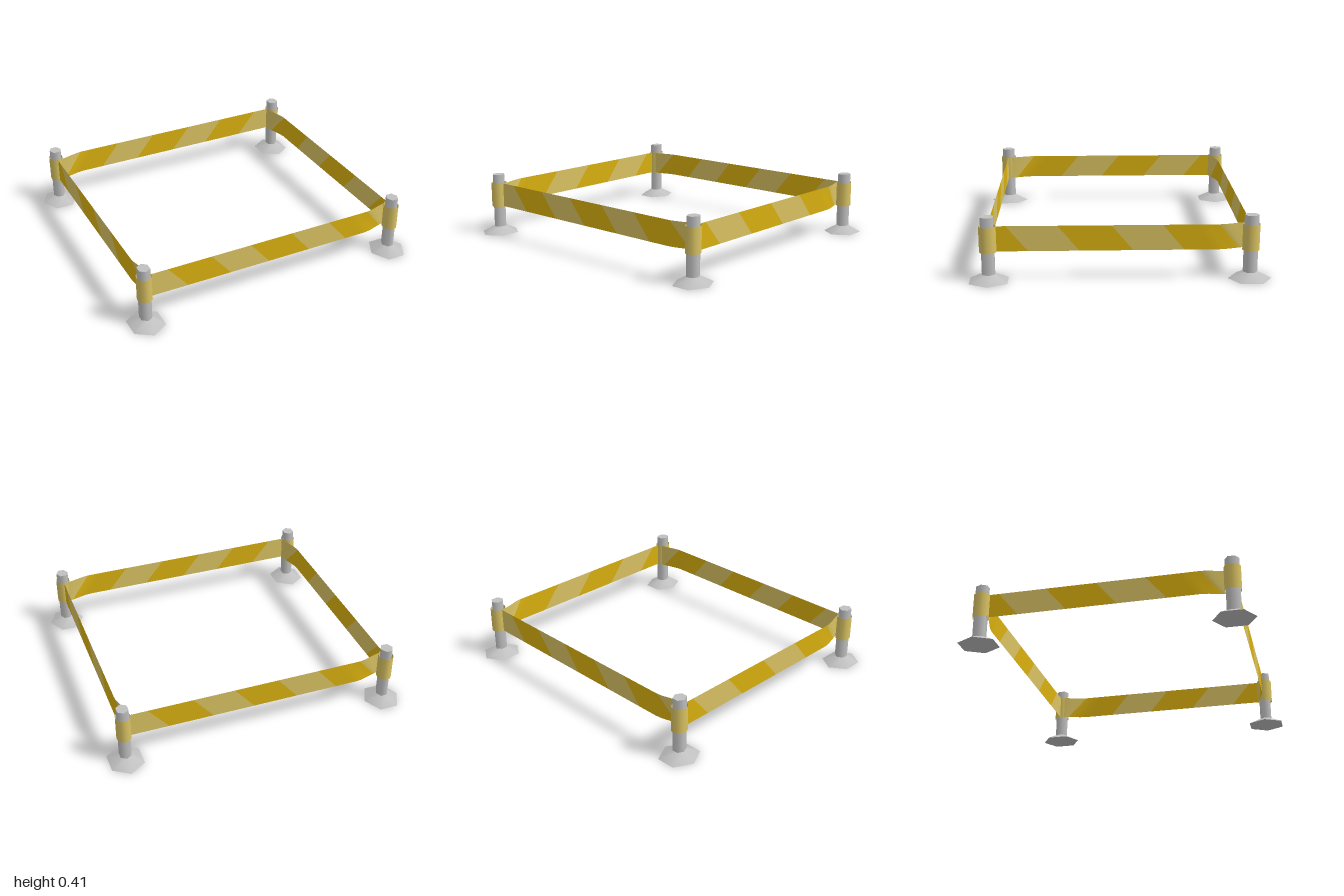
import * as THREE from 'three';

const X = 0.878, Z = 0.795;          // post positions
const LOW = 0.187, HIGH = 0.346;     // tape height range

const steel = new THREE.MeshStandardMaterial({ color: 0xc0c0c0 });
steel.name = 'grey steel';
const paleYellow = new THREE.MeshStandardMaterial({ color: 0xd9c262, side: THREE.DoubleSide });
paleYellow.name = 'pale yellow';
const deepYellow = new THREE.MeshStandardMaterial({ color: 0xd9b010, side: THREE.DoubleSide });
deepYellow.name = 'deep yellow';

function part(name, geometry, material) {
  const mesh = new THREE.Mesh(geometry, material);
  mesh.name = name;
  return mesh;
}

// Six-sided or round section, slightly deeper in z than in x
function column(rTop, rBottom, y0, y1, sides, turn, open = false) {
  return new THREE.CylinderGeometry(rTop, rBottom, y1 - y0, sides, 1, open)
    .rotateY(turn).scale(1, 1.12, 1).scale(1, 1 / 1.12, 1.12)
    .translate(0, (y0 + y1) / 2, 0);
}

function makePost(turn) {
  const post = new THREE.Group();
  post.name = 'post';
  post.add(
    part('foot', column(0.04, 0.12, 0, 0.045, 6, turn), steel),
    part('pole', column(0.04, 0.04, 0.04, 0.406, 6, turn), steel),
    part('tapeWrap', column(0.047, 0.047, LOW - 0.002, HIGH + 0.002, 12, 0, true), paleYellow)
  );
  return post;
}

// Sideways drift of the tape towards the inner face of the wrap at its end
function drift(s) {
  return -0.042 * (1 - THREE.MathUtils.smoothstep(s, 0, 0.2));
}

// One slanted stripe; s is the distance from the right-hand post
function stripe(length, top0, top1, bottom0, bottom1) {
  const steps = 8, pos = [], index = [];
  for (let i = 0; i <= steps; i++) {
    const t = i / steps;
    for (const [a, b, y] of [[top1, top0, HIGH], [bottom1, bottom0, LOW]]) {
      const s = a + (b - a) * t;
      pos.push(length / 2 - s, y, drift(s));
    }
    if (i < steps) {
      const k = i * 2;
      index.push(k, k + 1, k + 2, k + 2, k + 1, k + 3);
    }
  }
  const g = new THREE.BufferGeometry();
  g.setAttribute('position', new THREE.Float32BufferAttribute(pos, 3));
  g.setIndex(index);
  g.computeVertexNormals();
  return g;
}

// Tape with alternating stripes between two posts
function makeTape(length, edges) {
  const tape = new THREE.Group();
  tape.name = 'tape';
  const slant = 0.132;
  const marks = [0, ...edges, length];
  const low = marks.map((s, i) => (i === 0 || i === marks.length - 1 ? s : s - slant));
  for (let i = 0; i < marks.length - 1; i++) {
    tape.add(part(i % 2 ? 'deepStripe' : 'paleStripe',
      stripe(length, marks[i], marks[i + 1], low[i], low[i + 1]),
      i % 2 ? deepYellow : paleYellow));
  }
  return tape;
}

export function createModel() {
  const model = new THREE.Group();
  model.name = 'tapeBarrier';

  // Corner posts, alternately turned a quarter
  for (const sx of [-1, 1]) for (const sz of [-1, 1]) {
    const post = makePost(sx * sz > 0 ? Math.PI / 2 : 0);
    post.position.set(sx * X, 0, sz * Z);
    model.add(post);
  }

  // Tapes on the four sides
  const longEdges = [0.185, 0.475, 0.75, 1.04, 1.31, 1.6];
  const shortEdges = [0.195, 0.535, 0.845, 1.17, 1.48];
  for (let i = 0; i < 4; i++) {
    const long = i % 2 === 0;
    const tape = makeTape(2 * (long ? X : Z), long ? longEdges : shortEdges);
    const angle = i * Math.PI / 2;
    tape.rotation.y = angle;
    tape.position.set(Math.sin(angle) * X, 0, Math.cos(angle) * Z);
    model.add(tape);
  }
  return model;
}
